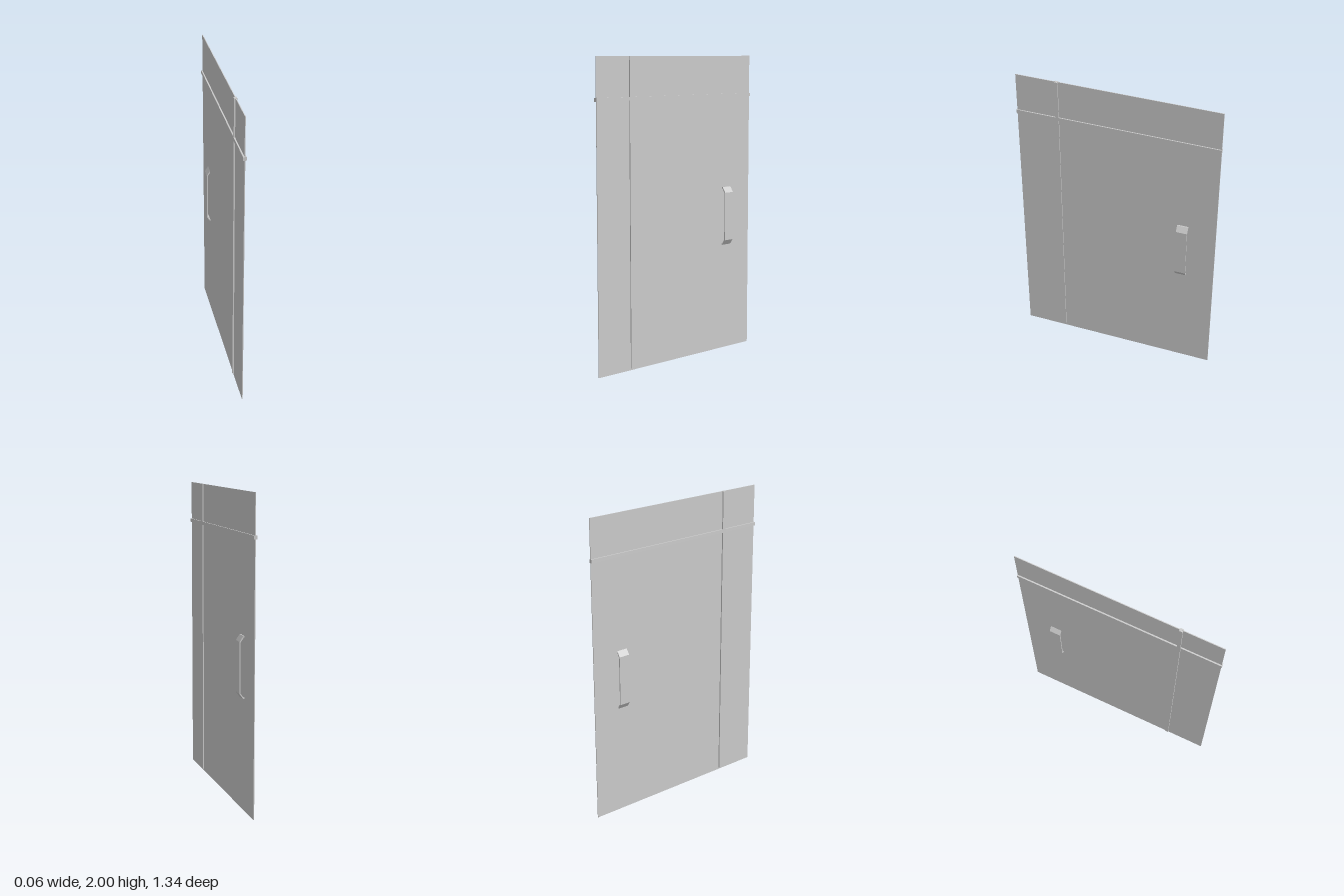
import * as THREE from 'three';

const material = new THREE.MeshStandardMaterial({ color: 0xcccccc, flatShading: true });

function box(name, size, position) {
  const mesh = new THREE.Mesh(new THREE.BoxGeometry(...size), material);
  mesh.name = name;
  mesh.position.set(...position);
  return mesh;
}

// Bent strip handle: an open bracket profile extruded along z
function handle(name, side) {
  const points = [
    [-0.002, 1.118], [0.006, 1.118], [0.03, 1.082], [0.03, 0.756], [0.006, 0.722], [-0.002, 0.722],
    [-0.002, 0.73], [0.003, 0.73], [0.023, 0.759], [0.023, 1.079], [0.003, 1.109], [-0.002, 1.109],
  ].map(([x, y]) => new THREE.Vector2(x * side, y));
  const geometry = new THREE.ExtrudeGeometry(new THREE.Shape(points), { depth: 0.074, bevelEnabled: false });
  const mesh = new THREE.Mesh(geometry, material);
  mesh.name = name;
  mesh.position.z = -0.485;
  return mesh;
}

export function createModel() {
  const group = new THREE.Group();
  group.name = 'door';
  const x = -0.005;

  // Thin door sheet
  group.add(box('panel', [0.005, 2, 1.336], [x + 0.001, 1, 0]));

  // Crossing strips that show on both faces
  group.add(box('verticalBar', [0.021, 1.986, 0.022], [x, 1.006, 0.396]));
  group.add(box('horizontalBar', [0.021, 0.023, 1.342], [x, 1.737, 0.002]));

  // A pull handle on each face
  group.add(handle('leftHandle', 1), handle('rightHandle', -1));
  return group;
}
